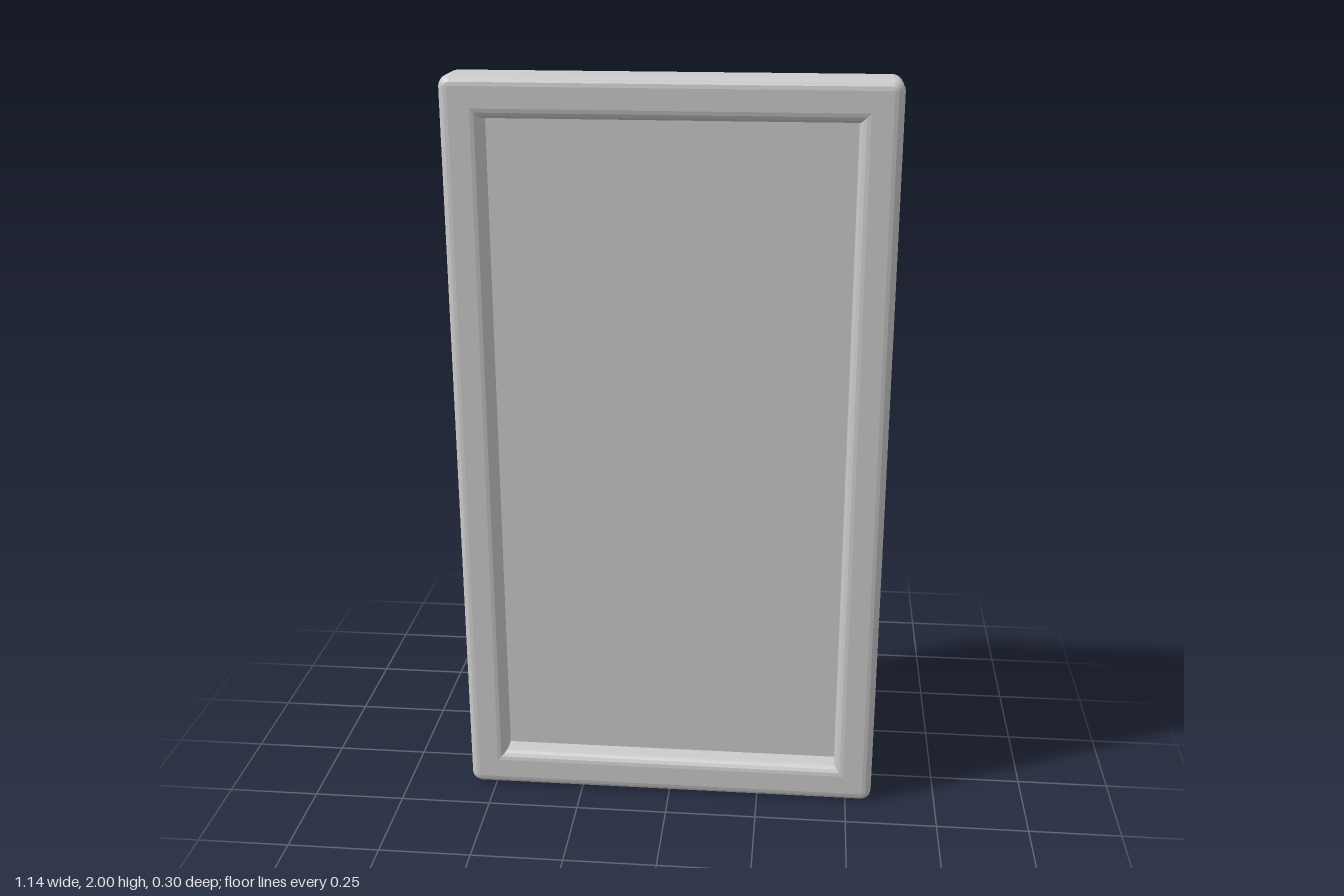
import * as THREE from 'three';
import { RoundedBoxGeometry } from 'three/addons/geometries/RoundedBoxGeometry.js';

const WIDTH = 1.144, HEIGHT = 2, BAR = 0.106; // frame outline and bar width
const FRAME_DEPTH = 0.15, BEVEL = 0.026, CORNER = 0.03;

// Rectangle centred on the origin with rounded corners
function roundedRect(w, h, r) {
  const x = w / 2, y = h / 2;
  const s = new THREE.Shape();
  s.moveTo(-x + r, -y);
  s.absarc(x - r, -y + r, r, -Math.PI / 2, 0);
  s.absarc(x - r, y - r, r, 0, Math.PI / 2);
  s.absarc(-x + r, y - r, r, Math.PI / 2, Math.PI);
  s.absarc(-x + r, -y + r, r, Math.PI, Math.PI * 1.5);
  return s;
}

export function createModel() {
  const model = new THREE.Group();
  model.name = 'framedPanel';

  const grey = new THREE.MeshStandardMaterial({ color: 0xcccccc });
  grey.name = 'light grey';

  // Front frame: soft-edged bars around a square-cornered opening
  const outline = roundedRect(WIDTH, HEIGHT, CORNER);
  const ix = WIDTH / 2 - BAR, iy = HEIGHT / 2 - BAR;
  outline.holes.push(new THREE.Path([
    new THREE.Vector2(-ix, -iy), new THREE.Vector2(-ix, iy),
    new THREE.Vector2(ix, iy), new THREE.Vector2(ix, -iy),
  ]));
  const frameGeometry = new THREE.ExtrudeGeometry(outline, {
    depth: FRAME_DEPTH - 2 * BEVEL,
    bevelThickness: BEVEL,
    bevelSize: BEVEL,
    bevelOffset: -BEVEL,
    bevelSegments: 4,
    curveSegments: 4,
  });
  const frame = new THREE.Mesh(frameGeometry, grey);
  frame.name = 'frontFrame';
  frame.position.set(0, HEIGHT / 2, BEVEL);
  model.add(frame);

  // Rounded body: its front face is the recessed panel, its back bulges out behind
  const body = new THREE.Mesh(new RoundedBoxGeometry(1.088, 1.944, 0.24, 3, 0.068), grey);
  body.name = 'bodyAndPanel';
  body.position.set(0, HEIGHT / 2, -0.032);
  model.add(body);

  return model;
}
